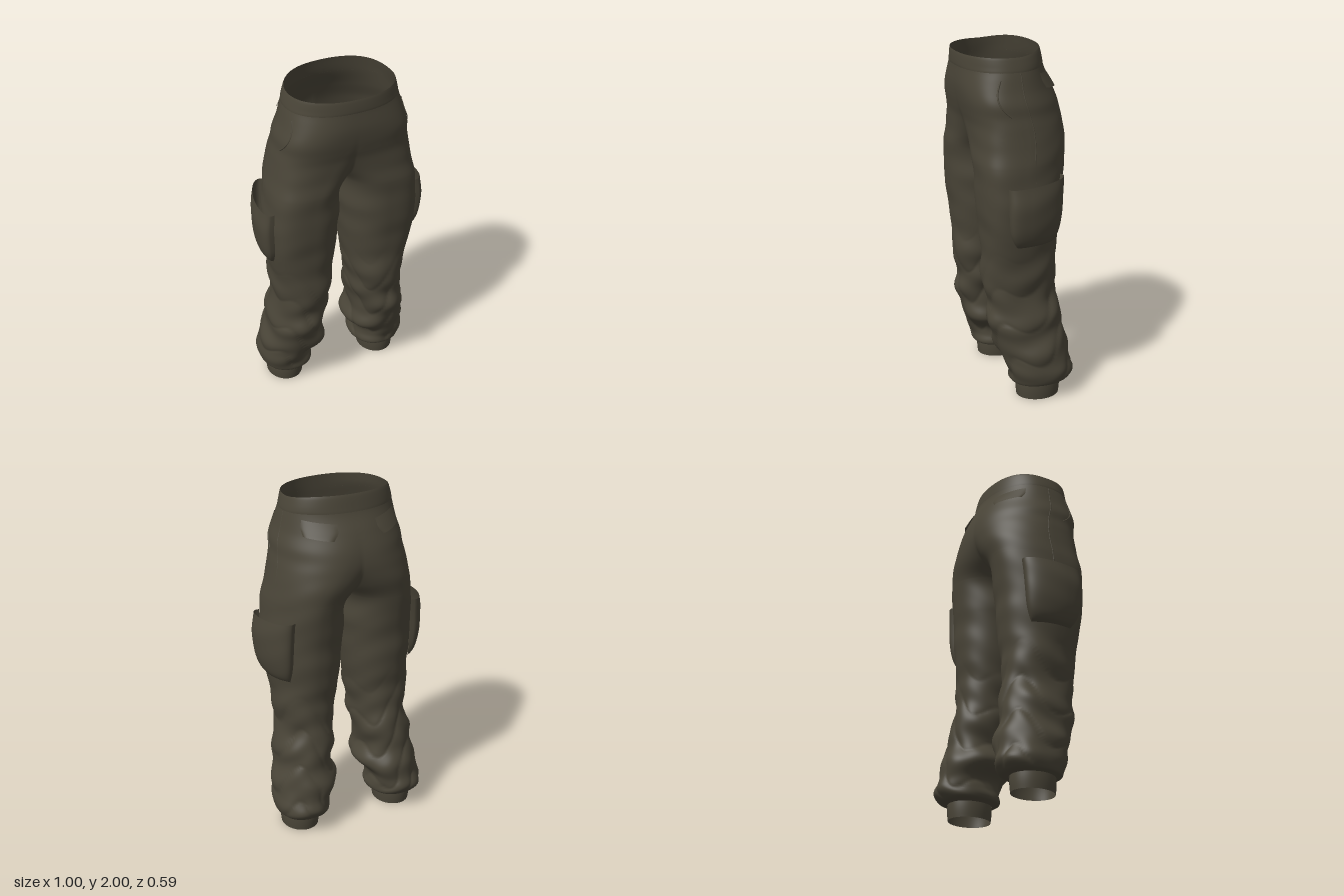
import * as THREE from 'three';
import { mergeGeometries, mergeVertices } from 'three/addons/utils/BufferGeometryUtils.js';

// One leg's cross-sections: height, outer x, inner x (below 0 = halves joined), front z, back z
const SECTIONS = [
  [0.06, 0.41, 0.20, 0.045, -0.21],
  [0.10, 0.445, 0.15, 0.08, -0.255],
  [0.16, 0.455, 0.15, 0.085, -0.29],
  [0.22, 0.45, 0.145, 0.11, -0.283],
  [0.30, 0.447, 0.092, 0.15, -0.262],
  [0.40, 0.425, 0.10, 0.175, -0.238],
  [0.50, 0.41, 0.10, 0.195, -0.238],
  [0.60, 0.39, 0.085, 0.20, -0.205],
  [0.70, 0.40, 0.07, 0.218, -0.203],
  [0.80, 0.408, 0.057, 0.222, -0.197],
  [0.90, 0.415, 0.043, 0.222, -0.212],
  [1.00, 0.432, 0.032, 0.232, -0.22],
  [1.20, 0.440, 0.013, 0.25, -0.235],
  [1.40, 0.425, 0, 0.258, -0.26],
  [1.50, 0.405, -0.085, 0.256, -0.278],
  [1.60, 0.387, -0.195, 0.26, -0.285],
  [1.66, 0.374, -0.245, 0.273, -0.278],
  [1.72, 0.369, -0.285, 0.285, -0.265],
  [1.80, 0.345, -0.32, 0.293, -0.235],
  [1.90, 0.322, -0.32, 0.288, -0.188],
  [2.00, 0.302, -0.302, 0.285, -0.165],
];
const sections = new THREE.CubicInterpolant(
  SECTIONS.map((s) => s[0]), SECTIONS.flatMap((s) => s.slice(1)), 4, new Float32Array(4));

const { smoothstep } = THREE.MathUtils;
const CROTCH = 1.4;
const POWER = 0.9;
const soft = (c, power) => Math.sign(c) * Math.abs(c) ** power;

function sectionAt(y) {
  const [out, inn, zf, zb] = sections.evaluate(y);
  return { cx: (out + inn) / 2, rx: (out - inn) / 2, cz: (zf + zb) / 2, rz: (zf - zb) / 2 };
}

// Cloth folds: deep and slanted below the knee, faint above, with narrow creases between
function folds(a, y) {
  const low = 1 - smoothstep(y, 0.5, 1.0);
  const hem = smoothstep(y, 0.08, 0.16);
  const calm = 1 - smoothstep(y, 1.5, 1.75);
  const wave = 0.5 * Math.sin(27 * y + 1.7 * Math.sin(a + 0.5) + 0.9 * Math.sin(2 * a))
    + 0.4 * Math.sin(18 * y - 3 * Math.cos(a - 0.4) + 1)
    + 0.3 * Math.sin(41 * y + 2.5 * Math.sin(a) + 2 * Math.cos(2 * a));
  const crease = 0.35 - Math.abs(Math.sin(15 * y + 2.2 * Math.sin(a - 0.8) + 1.3 * Math.cos(3 * a))) ** 0.6 * 0.5;
  return (wave * (0.003 * calm + 0.009 * low) - crease * 0.022 * low) * hem;
}

// Point on the cloth at angle a (0 = outer side, positive = front), raised by lift
function cloth(a, y, lift = 0) {
  const { cx, rx, cz, rz } = sectionAt(y);
  const c = Math.cos(a), s = Math.sin(a);
  // thighs and hips are fuller at the outer front than at the outer back
  const skew = smoothstep(y, 0.75, 1.05) * (1 - smoothstep(y, 1.72, 1.95));
  const outer = Math.max(0, c);
  const power = POWER + (c > 0 ? skew * (s > 0 ? -0.15 : 0.08) : 0);
  const nx = c / rx, nz = s / rz;
  const d = (folds(a, y) + lift) / Math.hypot(nx, nz);
  const z = cz + rz * soft(s, power) + 0.035 * skew * outer * outer + nz * d;
  // the rim dips towards the front
  const dip = smoothstep(y, 1.85, 2) * 0.025 * smoothstep(z, -0.17, 0.05);
  return [cx + rx * soft(c, power) + nx * d, y - dip, z];
}

// Angle at which a section meets the centre line
function centreAngle(y) {
  const { cx, rx } = sectionAt(y);
  if (cx >= rx - 1e-6) return Math.PI;
  return Math.acos(-(Math.max(0, cx / rx) ** (1 / POWER)));
}

// Wrapped cloth whose ends lie on the centre line wherever the halves join
function wrap(u, y, lift = 0) {
  const p = cloth((2 * u - 1) * centreAngle(y), y, lift);
  p[0] = y >= CROTCH && (u === 0 || u === 1) ? 0 : Math.max(0, p[0]);
  return p;
}

// Grid surface from point(u, v)
function sheet(us, vs, point) {
  const pos = [], index = [];
  vs.forEach((v) => us.forEach((u) => pos.push(...point(u, v))));
  const n = us.length;
  for (let j = 0; j < vs.length - 1; j++) {
    for (let i = 0; i < n - 1; i++) {
      const a = j * n + i, c = a + n;
      index.push(a, a + 1, c, a + 1, c + 1, c);
    }
  }
  const g = new THREE.BufferGeometry();
  g.setAttribute('position', new THREE.Float32BufferAttribute(pos, 3));
  g.setIndex(index);
  return g;
}

function mirrored(g) {
  const m = g.clone().scale(-1, 1, 1);
  const idx = m.index.array;
  for (let i = 0; i < idx.length; i += 3) [idx[i], idx[i + 1]] = [idx[i + 1], idx[i]];
  return m;
}

const steps = (n, from = 0, to = 1) => Array.from({ length: n + 1 }, (_, i) => from + (to - from) * i / n);

export function createModel() {
  const group = new THREE.Group();
  const fabric = new THREE.MeshStandardMaterial({ color: 0x4a4538, side: THREE.DoubleSide });
  fabric.name = 'olive fabric';

  const addMesh = (g, name) => {
    const welded = mergeVertices(g, 1e-5);
    welded.computeVertexNormals();
    const mesh = new THREE.Mesh(welded, fabric);
    mesh.name = name;
    group.add(mesh);
  };
  const addJoined = (g, name) => addMesh(mergeGeometries([g, mirrored(g)]), name);
  const addPair = (g, name) => {
    addMesh(g, 'left' + name);
    addMesh(mirrored(g), 'right' + name);
  };

  // Hips and both legs, with closer rows at the crotch
  const rows = [...steps(50, 2, 1.42), 1.414, 1.409, 1.405, 1.402, 1.4005, CROTCH, ...steps(130, 1.395, 0.085), 0.075, 0.06];
  addJoined(sheet(steps(96), rows, (u, y) => {
    const p = wrap(u, y);
    if (y < 0.1) p[1] = 0.09 + (y - 0.06) * 0.25;
    return p;
  }), 'trouserBody');

  // Slightly raised waistband
  addJoined(sheet(steps(64), steps(12), (u, v) =>
    wrap(u, 2 - 0.095 * v, 0.003 * Math.sqrt(Math.max(0, Math.sin(Math.PI * v))))), 'waistband');

  // Ankle cuffs
  addPair(sheet(steps(48), steps(6), (u, v) => {
    const a = (2 * u - 1) * Math.PI;
    const r = 1 + 0.03 * Math.sin(Math.PI * v) - 0.02 * v;
    return [0.307 + 0.107 * r * Math.cos(a), 0.11 * (1 - v), -0.082 + 0.127 * r * Math.sin(a)];
  }), 'Cuff');

  // Bellows cargo pockets, open at the top, with rounded lower corners
  addPair(sheet(steps(48, -1, 1), steps(36), (u, v) => {
    const a = -0.27 + 0.62 * u * (1 - 0.24 * v ** 6);
    const swell = Math.sqrt(Math.max(0, (1 - Math.abs(u) ** 5) * (1 - v ** 5)));
    const y = 1.312 - 0.36 * v - 0.015 * u * (1 - v);
    return cloth(a, y, 0.003 + (0.048 + 0.008 * Math.sin(Math.PI * v)) * swell);
  }), 'CargoPocket');

  // Back pocket flaps with cut lower corners
  addPair(sheet(steps(20, -1, 1), steps(10), (u, v) => {
    const a = -0.93 + 0.33 * u * (1 - 0.2 * Math.max(0, v - 0.55) / 0.45);
    return cloth(a, 1.865 - 0.08 * v + 0.01 * u, 0.001 + 0.016 * v * (1 - Math.abs(u) ** 8 * 0.5));
  }), 'BackPocketFlap');

  // Curved welts of the hand pockets
  addPair(sheet(steps(4, -1, 1), steps(20), (u, v) => {
    const a = 0.36 - 0.07 * v + 0.12 * (2 * v - 1) ** 2 * (v < 0.5 ? -0.2 : -1) + 0.05 * Math.sin(Math.PI * v) + 0.02 * u;
    return cloth(a, 1.86 - 0.19 * v, 0.001 + 0.004 * (1 - u * u));
  }), 'HandPocketWelt');

  // Side seams from waistband to cargo pocket
  addPair(sheet(steps(2, -1, 1), steps(40), (u, v) =>
    cloth(-0.06 - 0.13 * v + 0.012 * u, 1.9 - 0.59 * v, 0.0005 + 0.002 * (1 - u * u))), 'SideSeam');

  return group;
}
